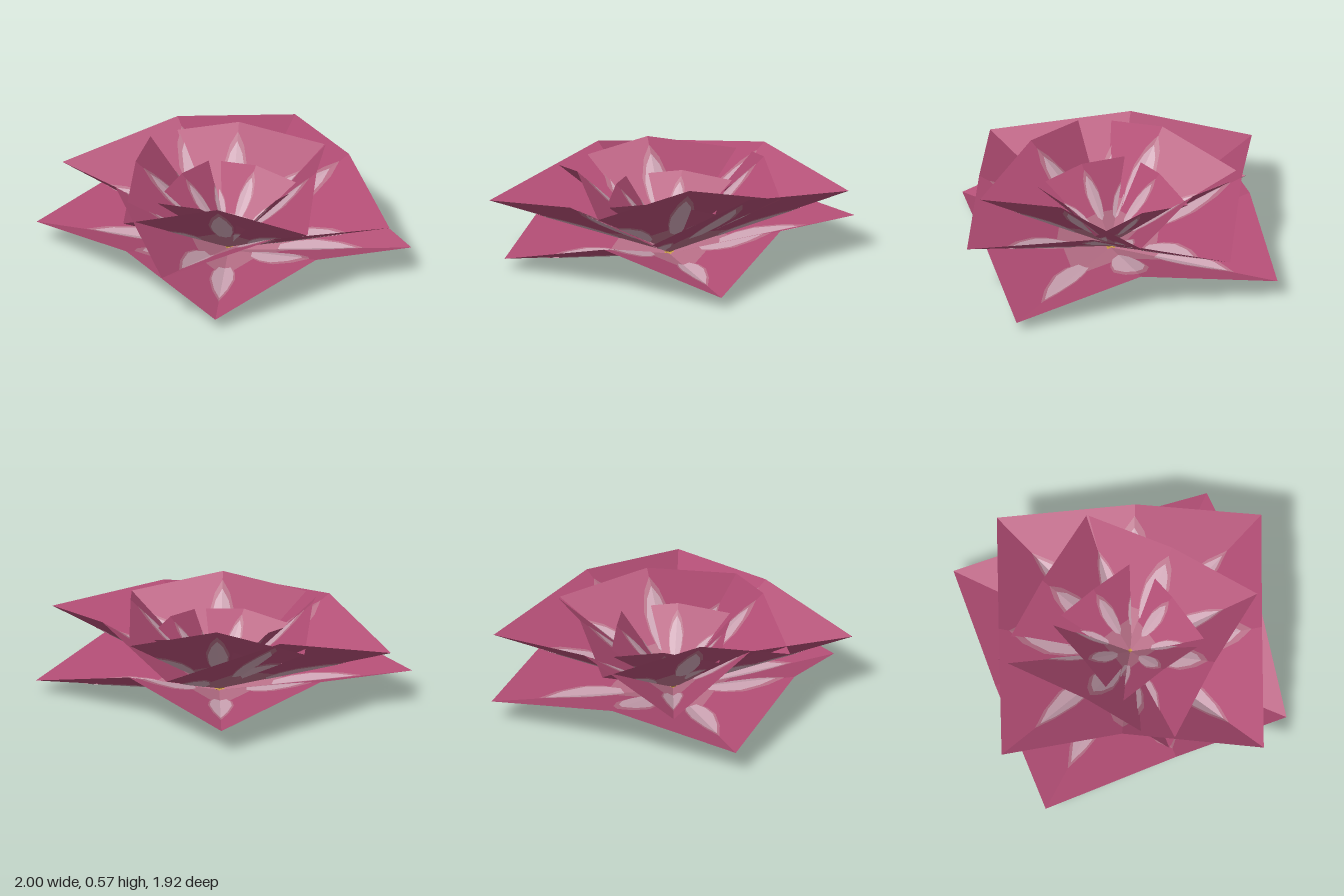
import * as THREE from 'three';

const paint = (name, color) => {
  const m = new THREE.MeshStandardMaterial({ color, side: THREE.DoubleSide, flatShading: true });
  m.name = name;
  return m;
};

// Each tier is a folded square: a centre height plus eight rim points
// (corner, middle of edge, corner, ...) listed around the flower.
const TIERS = [
  { name: 'outerTier', centre: 0.006, rim: [
    [0.74, 0.07, 0.73], [0, 0.27, 0.81], [-0.84, 0.14, 0.81], [-0.87, 0.265, 0],
    [-0.84, 0.14, -0.82], [0, 0.27, -0.77], [0.78, 0.07, -0.79], [0.82, 0.265, 0]] },
  { name: 'secondTier', centre: 0.02, rim: [
    [0.51, 0.34, 0.96], [-0.29, 0.54, 0.65], [-1, 0.37, 0.47], [-0.76, 0.54, -0.24],
    [-0.51, 0.41, -0.96], [0.29, 0.54, -0.71], [1, 0.41, -0.43], [0.75, 0.47, 0.27]] },
  { name: 'thirdTier', centre: 0.032, rim: [
    [-0.04, 0.44, 0.8], [-0.42, 0.575, 0.38], [-0.82, 0.45, -0.09], [-0.41, 0.575, -0.43],
    [0, 0.47, -0.77], [0.4, 0.575, -0.36], [0.8, 0.44, 0.05], [0.39, 0.575, 0.42]] },
  { name: 'innerTier', centre: 0.044, rim: [
    [0.41, 0.38, 0.21], [0.1, 0.43, 0.31], [-0.22, 0.38, 0.41], [-0.33, 0.43, 0.09],
    [-0.43, 0.38, -0.22], [-0.12, 0.43, -0.32], [0.2, 0.38, -0.43], [0.31, 0.43, -0.11]] },
];

// Petal outline: fraction of its length, fraction of its half width
const PETAL = [[0, 0], [0.1, 0.55], [0.35, 0.9], [0.6, 1], [0.85, 0.6], [1, 0]];

function meshOf(points, material, name) {
  const g = new THREE.BufferGeometry().setFromPoints(points);
  g.computeVertexNormals();
  const m = new THREE.Mesh(g, material);
  m.name = name;
  return m;
}

// Fan of eight triangles reaching a fraction of the way to the rim
function fan(centre, rim, reach, lift) {
  const up = new THREE.Vector3(0, lift, 0);
  const at = (i) => centre.clone().lerp(rim[i % 8], reach).add(up);
  const pts = [];
  // wound so that the front faces up
  for (let i = 0; i < 8; i++) pts.push(centre.clone().add(up), at(i + 1), at(i));
  return pts;
}

// Petals follow the eight folds, with one half on either adjoining face
function petals(centre, rim, cornerTip, middleTip, start, width, lift) {
  const pts = [];
  rim.forEach((v, i) => {
    const tip = i % 2 ? middleTip : cornerTip;
    for (const side of [1, 7]) {
      const w = rim[(i + side) % 8].clone().sub(v);
      const at = ([s, k], edge) => {
        const p = centre.clone().lerp(v, start + (tip - start) * s);
        if (edge) p.addScaledVector(w, width * k);
        p.y += lift;
        return p;
      };
      for (let j = 0; j < PETAL.length - 1; j++) {
        const a = at(PETAL[j], 0), b = at(PETAL[j + 1], 0);
        const c = at(PETAL[j + 1], 1), d = at(PETAL[j], 1);
        if (side === 1) pts.push(a, c, b, a, d, c);
        else pts.push(a, b, c, a, c, d);
      }
    }
  });
  return pts;
}

export function createModel() {
  const rose = paint('rose', 0xb04c73);
  const pale = paint('palePink', 0xcba2b2);
  const dusky = paint('duskyPink', 0xb66e86);
  const gold = paint('gold', 0xc99a48);

  const flower = new THREE.Group();
  flower.name = 'flower';

  for (const { name, centre: y, rim: raw } of TIERS) {
    const tier = new THREE.Group();
    tier.name = name;
    const c = new THREE.Vector3(0, y, 0);
    const rim = raw.map((p) => new THREE.Vector3(...p));
    tier.add(meshOf(fan(c, rim, 1, 0), rose, 'foldedSheet'));

    // Painted markings on the upper and lower faces
    for (const s of [1, -1]) {
      tier.add(meshOf(fan(c, rim, 0.38, s * 0.002), dusky, 'heart'));
      tier.add(meshOf(petals(c, rim, 0.74, 0.92, 0.27, 0.135, s * 0.003), dusky, 'petalEdges'));
      tier.add(meshOf(petals(c, rim, 0.7, 0.84, 0.27, 0.115, s * 0.005), pale, 'petals'));
      tier.add(meshOf(fan(c, rim, 0.03, s * 0.005), gold, 'eye'));
    }
    flower.add(tier);
  }
  return flower;
}
